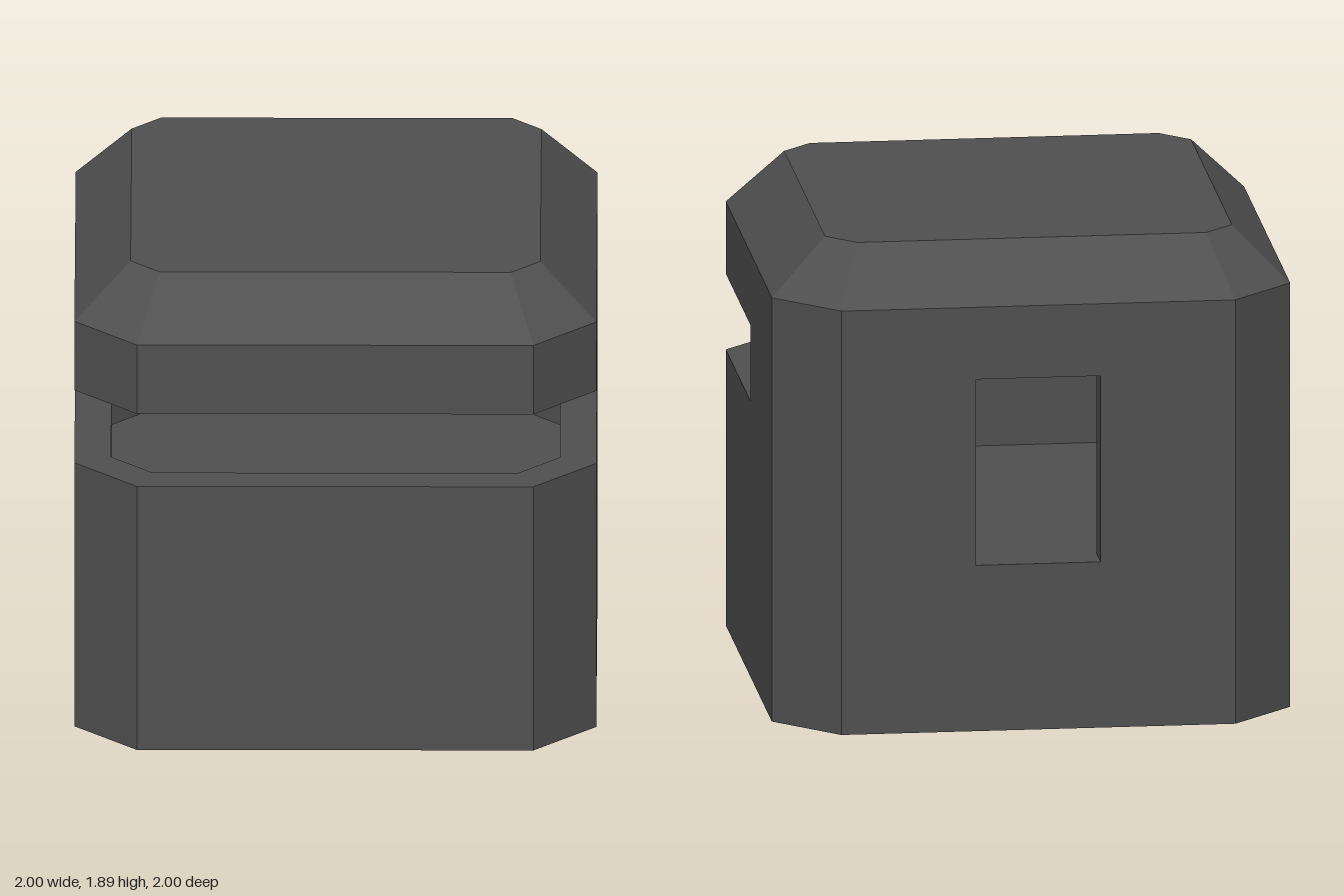
import * as THREE from 'three';

const FLOOR = 0.655, SILL = 1.09, LINTEL = 1.39; // heights of the openings
const DOOR = 0.24, SLOT_BACK = -0.06;            // door half width, rear end of the side slots

// Chamfered square as [x, z] corners, counterclockwise seen from above
const octagon = (h, a) => [
  [a, h], [h, a], [h, -a], [a, -h], [-a, -h], [-h, -a], [-h, a], [-a, h],
];
const mirror = (pts) => pts.map(([x, z]) => [-x, z]).reverse();

// Upright prism over a floor plan
function prism(plan, y0, y1) {
  const shape = new THREE.Shape(plan.map(([x, z]) => new THREE.Vector2(x, -z)));
  const geo = new THREE.ExtrudeGeometry(shape, { depth: y1 - y0, bevelEnabled: false });
  return geo.rotateX(-Math.PI / 2).translate(0, y0, 0);
}

// Skin over octagonal sections [half width, half flat side, y]
function loft(sections) {
  const pos = [], index = [];
  sections.forEach(([h, a, y]) => octagon(h, a).forEach(([x, z]) => pos.push(x, y, z)));
  for (let s = 0; s < sections.length - 1; s++) {
    for (let j = 0; j < 8; j++) {
      const k = (j + 1) % 8, a = s * 8, b = a + 8;
      if (sections[s][0] > 0) index.push(a + j, a + k, b + k);
      if (sections[s + 1][0] > 0) index.push(a + j, b + k, b + j);
    }
  }
  const geo = new THREE.BufferGeometry();
  geo.setAttribute('position', new THREE.Float32BufferAttribute(pos, 3));
  geo.setIndex(index);
  const flat = geo.toNonIndexed();
  flat.computeVertexNormals();
  return flat;
}

export function createModel() {
  const group = new THREE.Group();
  const material = new THREE.MeshStandardMaterial({ color: 0x505050, flatShading: true });
  const add = (name, geo) => {
    const mesh = new THREE.Mesh(geo, material);
    mesh.name = name;
    group.add(mesh);
  };

  // Solid base up to the raised floor
  add('base', prism(octagon(1, 0.76), 0, FLOOR));

  // Parapet below the viewing slot, open at the rear doorway
  const outer = [[DOOR, -1], [0.76, -1], [1, -0.76], [1, 0.76], [0.76, 1]];
  const inner = [[0.7, 0.86], [0.86, 0.7], [0.86, -0.7], [0.7, -0.86], [DOOR, -0.86]];
  add('parapet', prism([...outer, ...mirror(outer), ...mirror(inner), ...inner], FLOOR, SILL));

  // Rear piers beside the doorway, carrying the roof
  const pier = [
    [DOOR, -1], [0.76, -1], [1, -0.76], [1, SLOT_BACK],
    [0.86, SLOT_BACK], [0.86, -0.7], [0.7, -0.86], [DOOR, -0.86],
  ];
  add('leftPier', prism(pier, SILL, LINTEL));
  add('rightPier', prism(mirror(pier), SILL, LINTEL));

  // Hollow roof: ceiling, inner wall, underside, outer wall, bevel, top
  add('roof', loft([
    [0, 0, 1.75], [0.725, 0.65, 1.75], [0.86, 0.7, 1.617], [0.86, 0.7, LINTEL],
    [1, 0.76, LINTEL], [1, 0.76, 1.675], [0.785, 0.673, 1.89], [0, 0, 1.89],
  ]));

  return group;
}
